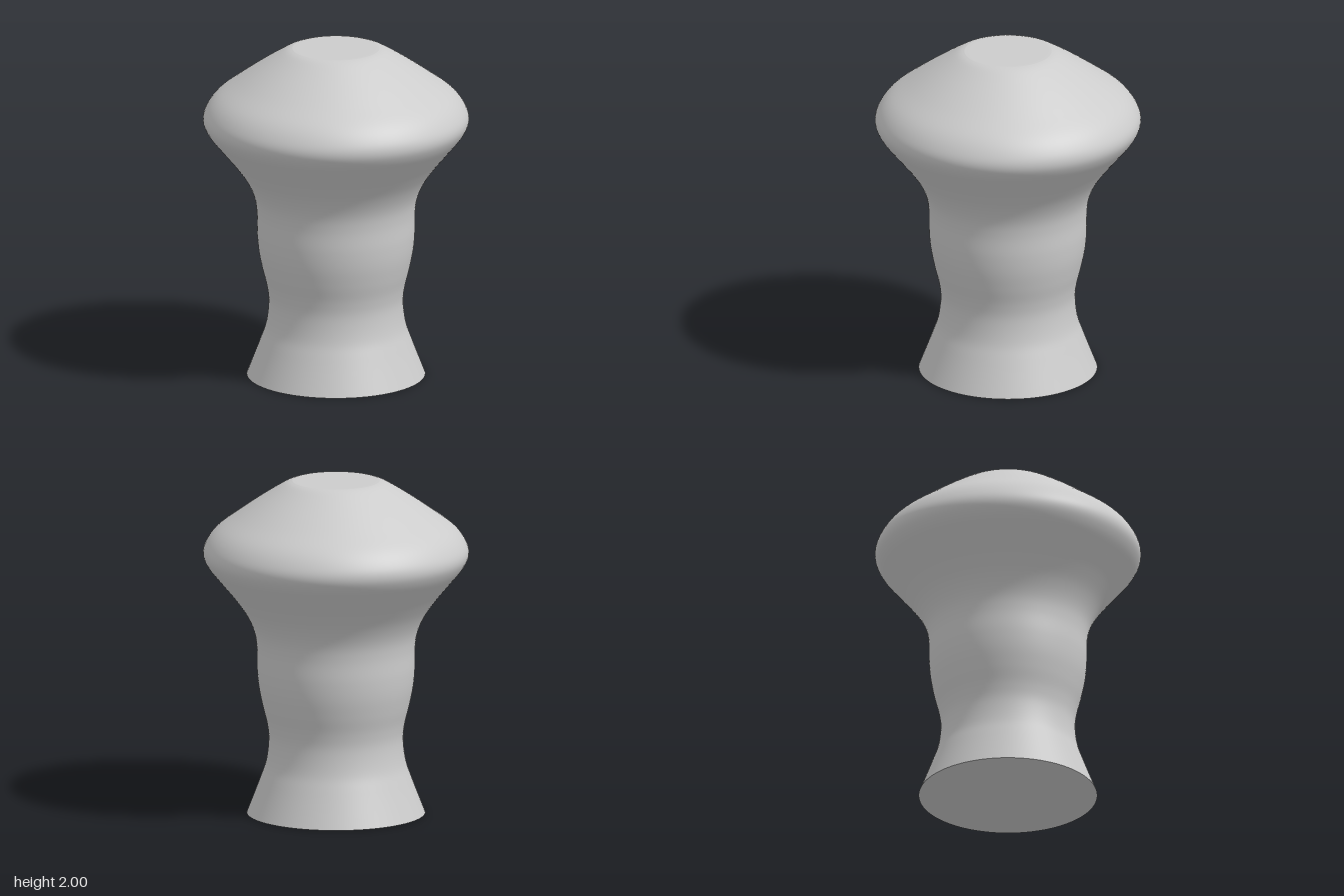
import * as THREE from 'three';

// Outline of the turned knob as [radius, height], from foot to crown
const OUTLINE = [
  [0.527, 0], [0.45, 0.2], [0.413, 0.31], [0.397, 0.44], [0.407, 0.54],
  [0.434, 0.65], [0.456, 0.76], [0.466, 0.87], [0.468, 1.0], [0.485, 1.1],
  [0.531, 1.2], [0.602, 1.3], [0.685, 1.4], [0.757, 1.49], [0.785, 1.56],
  [0.767, 1.63], [0.705, 1.71], [0.585, 1.8], [0.44, 1.9], [0.31, 1.98], [0.255, 2.0],
];

export function createModel() {
  const group = new THREE.Group();
  group.name = 'turnedKnob';
  const material = new THREE.MeshStandardMaterial({ color: 0xcccccc });

  // Smooth turned body
  const curve = new THREE.SplineCurve(OUTLINE.map(([r, y]) => new THREE.Vector2(r, y)));
  const profile = curve.getPoints(120);
  // Flat crown, softly blended into the shoulder
  profile.push(new THREE.Vector2(0.22, 2), new THREE.Vector2(0, 2));
  const body = new THREE.Mesh(new THREE.LatheGeometry(profile, 96), material);
  body.name = 'body';
  group.add(body);

  // Flat underside with a sharp rim
  const base = new THREE.Mesh(new THREE.CircleGeometry(OUTLINE[0][0], 96), material);
  base.name = 'base';
  base.rotation.x = Math.PI / 2;
  group.add(base);

  return group;
}
